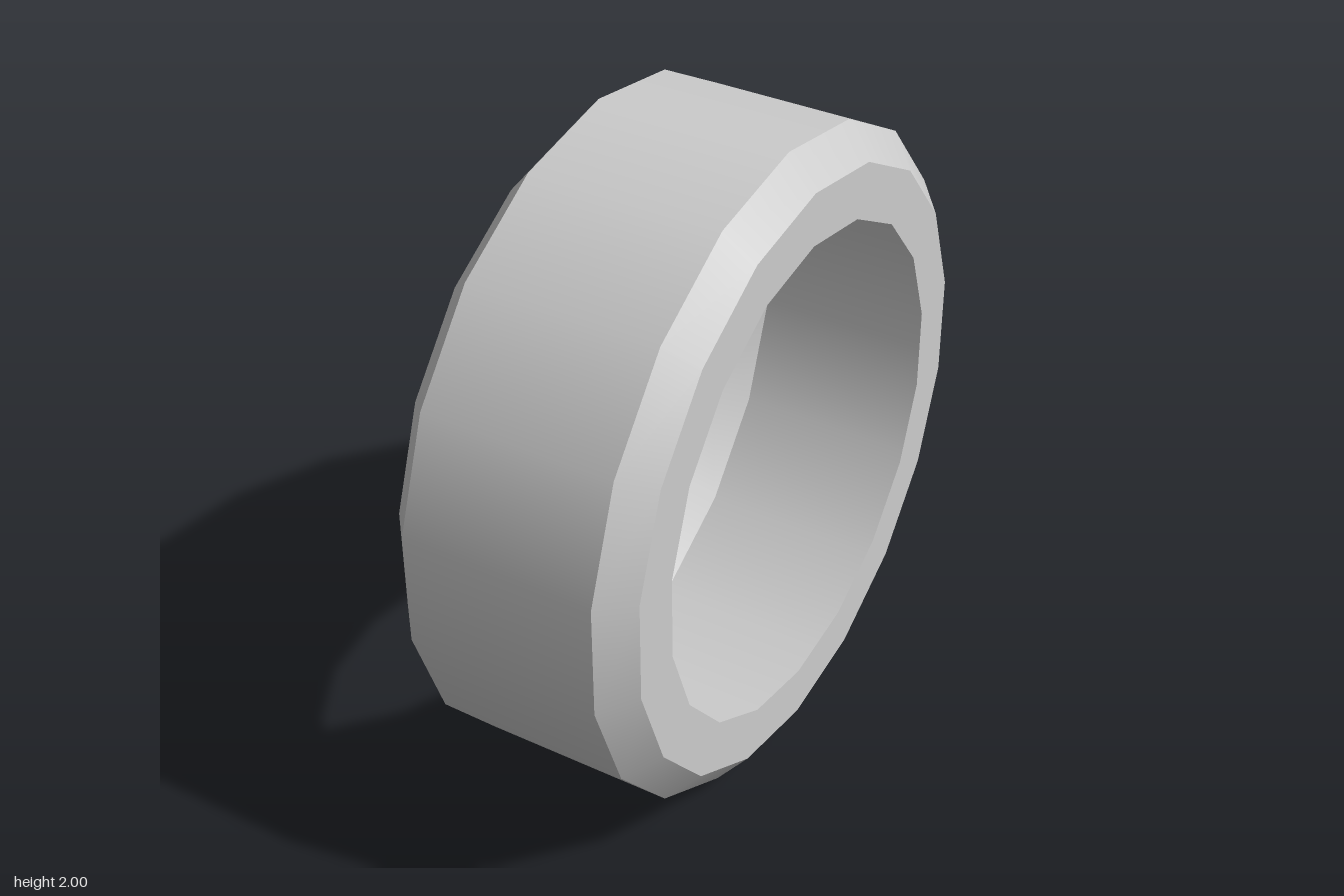
import * as THREE from 'three';

export function createModel() {
  const group = new THREE.Group();
  group.name = 'hollowTyre';

  const grey = new THREE.MeshStandardMaterial({ color: 0xcccccc, side: THREE.DoubleSide });
  grey.name = 'plain grey';

  const SIDES = 18;
  // Open shell profile: [radius, position along the axle]
  const profile = [[0.742, -0.372], [0.902, -0.372], [1, -0.29], [1, 0.29], [0.902, 0.372], [0.742, 0.372]];
  const names = ['leftSidewall', 'leftBevel', 'tread', 'rightBevel', 'rightSidewall'];

  // One smooth band per profile segment, so the rims between bands stay sharp
  names.forEach((name, i) => {
    const points = [profile[i], profile[i + 1]].map(([r, a]) => new THREE.Vector2(r, a));
    const band = new THREE.LatheGeometry(points, SIDES);
    band.rotateX(-Math.PI / 2).rotateY(Math.PI / 2); // lay the axle along x, corner on top
    const mesh = new THREE.Mesh(band, grey);
    mesh.name = name;
    mesh.position.y = 1;
    group.add(mesh);
  });

  return group;
}
